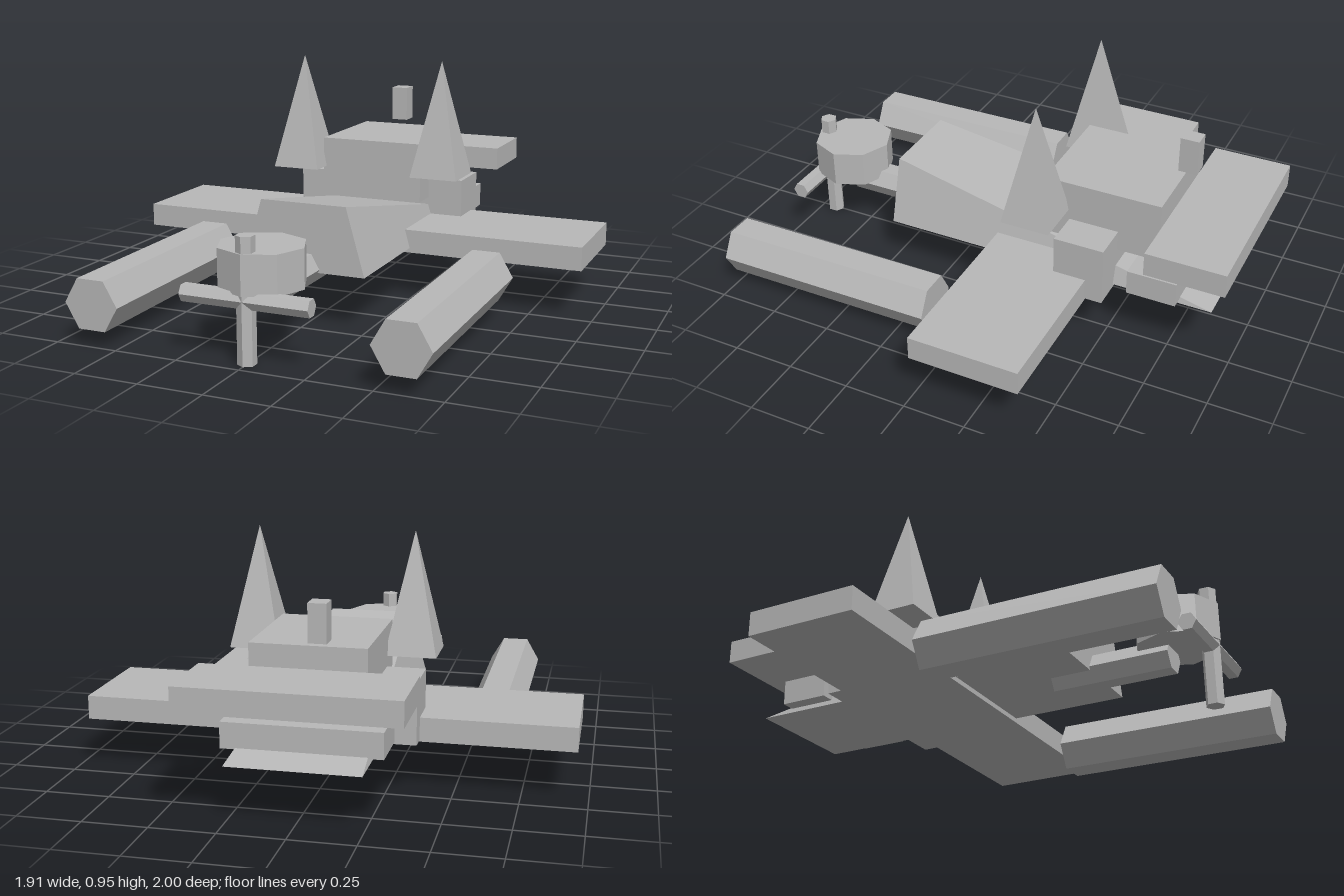
import * as THREE from 'three';
import { ConvexGeometry } from 'three/addons/geometries/ConvexGeometry.js';

export function createModel() {
  const model = new THREE.Group();
  const grey = new THREE.MeshStandardMaterial({ color: 0xb8b8b8, flatShading: true });
  grey.name = 'plain grey';

  const add = (name, geometry, x = 0, y = 0, z = 0) => {
    const mesh = new THREE.Mesh(geometry, grey);
    mesh.name = name;
    mesh.position.set(x, y, z);
    model.add(mesh);
    return mesh;
  };

  // Box given by its limits on each axis
  const box = (name, x0, x1, y0, y1, z0, z1) =>
    add(name, new THREE.BoxGeometry(x1 - x0, y1 - y0, z1 - z0),
      (x0 + x1) / 2, (y0 + y1) / 2, (z0 + z1) / 2);

  // Six-sided bar along z with flat top and bottom
  const hexBar = (r, length) =>
    new THREE.CylinderGeometry(r, r, length, 6).rotateY(Math.PI / 6).rotateX(Math.PI / 2);

  // Wedge body: tall narrow-topped nose sloping down to a flat rear edge
  const v = (x, y, z) => new THREE.Vector3(x, y, z);
  const corners = [];
  for (const s of [-1, 1]) {
    corners.push(v(s * 0.175, 0.48, 0.475), v(s * 0.25, 0.215, 0.475), v(s * 0.25, 0.215, -0.915));
  }
  add('body', new ConvexGeometry(corners));

  // Cabin, wings and cross blocks
  box('cabin', -0.22, 0.218, 0.36, 0.605, -0.68, -0.203);
  box('wing', -0.955, 0.953, 0.196, 0.29, -0.443, -0.003);
  box('tailWing', -0.407, 0.405, 0.425, 0.52, -1, -0.687);
  box('wingBlock', -0.37, 0.365, 0.203, 0.443, -0.513, -0.31);
  box('tailBlock', -0.3, 0.3, 0.235, 0.335, -0.785, -0.587);
  box('chimney', -0.084, -0.015, 0.627, 0.772, -0.733, -0.658);

  // Paired spires and floats
  for (const s of [-1, 1]) {
    const spire = new THREE.ConeGeometry(0.1 * Math.SQRT2, 0.472, 4).rotateY(Math.PI / 4);
    add(s > 0 ? 'leftSpire' : 'rightSpire', spire, s * 0.307, 0.719, -0.205);
    const float = add(s > 0 ? 'leftFloat' : 'rightFloat', hexBar(0.11, 0.915), s * 0.598, 0.162, 0.542);
    float.rotation.x = 0.007;
  }

  // Engine drum and its shaft into the nose
  add('engineDrum', new THREE.CylinderGeometry(0.165, 0.165, 0.15, 8), 0, 0.33, 0.81);
  add('engineShaft', hexBar(0.067, 0.48), 0, 0.228, 0.55);

  // Crossed propeller blades
  const blade = (length) => new THREE.CylinderGeometry(0.035, 0.035, length, 6);
  add('uprightBlade', blade(0.465), 0, 0.2325, 0.935);
  add('levelBlade', blade(0.5).rotateZ(Math.PI / 2), 0, 0.234, 0.935);

  return model;
}
